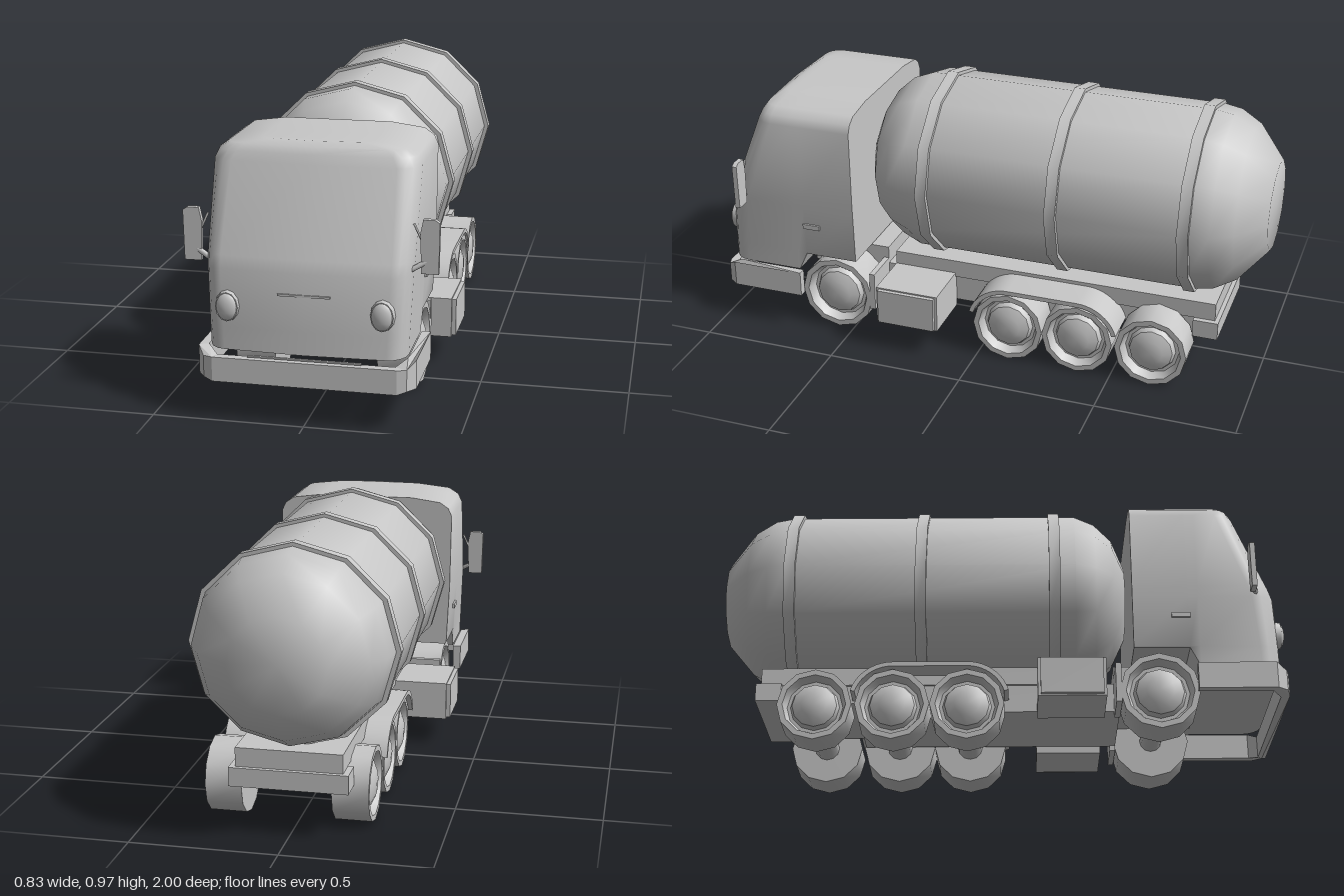
import * as THREE from 'three';
import { toCreasedNormals } from 'three/addons/utils/BufferGeometryUtils.js';

const grey = new THREE.MeshStandardMaterial({ color: 0xc8c8c8 });
grey.name = 'plain grey';

export function createModel() {
  const truck = new THREE.Group();
  truck.name = 'tankTruck';

  const add = (name, geometry, x = 0, y = 0, z = 0) => {
    const mesh = new THREE.Mesh(geometry, grey);
    mesh.name = name;
    mesh.position.set(x, y, z);
    truck.add(mesh);
    return mesh;
  };
  // Box given by its limits on each axis
  const block = (name, x0, x1, y0, y1, z0, z1) =>
    add(name, new THREE.BoxGeometry(x1 - x0, y1 - y0, z1 - z0), (x0 + x1) / 2, (y0 + y1) / 2, (z0 + z1) / 2);
  const lathe = (points, sides) =>
    new THREE.LatheGeometry(points.map(([r, h]) => new THREE.Vector2(r, h)), sides);

  // Tank: twelve-sided barrel with rounded ends, lying along z
  const tank = lathe([[0, -1], [0.16, -1], [0.275, -0.905], [0.318, -0.83], [0.33, -0.76],
    [0.33, 0.27], [0.3, 0.345], [0.24, 0.41], [0.14, 0.455], [0, 0.455]], 12);
  tank.rotateX(Math.PI / 2).scale(1.02, 1, 1);
  add('tank', toCreasedNormals(tank, 0.95), 0, 0.625, 0);
  for (const z of [0.195, -0.28, -0.745]) {
    const band = lathe([[0.31, -0.02], [0.342, -0.02], [0.342, 0.02], [0.31, 0.02]], 12);
    band.rotateX(Math.PI / 2).scale(1.03, 1, 1);
    add('tankBand', toCreasedNormals(band, 0.7), 0, 0.625, z);
  }

  add('cab', cabGeometry());

  // Bumper wrapping around the front of the cab
  const outline = [[0.355, 0.68], [0.355, 0.95], [0.33, 0.985], [0.3, 0.995]];
  const inner = [[0.29, 0.965], [0.325, 0.935], [0.325, 0.68]];
  const flip = (list) => list.map(([x, z]) => [-x, z]).reverse();
  const loop = [...outline, ...flip(outline), ...flip(inner), ...inner];
  const bumper = new THREE.ExtrudeGeometry(
    new THREE.Shape(loop.map(([x, z]) => new THREE.Vector2(x, z))), { depth: 0.105, bevelEnabled: false });
  bumper.rotateX(Math.PI / 2).translate(0, 0.235, 0);
  const p = bumper.attributes.position;
  for (let i = 0; i < p.count; i++) {
    if (p.getY(i) > 0.2 && p.getZ(i) > 0.96 && Math.abs(p.getX(i)) < 0.34) p.setY(i, 0.212);
    else if (p.getY(i) < 0.2 && Math.abs(p.getX(i)) > 0.31) p.setY(i, 0.14);
  }
  bumper.computeVertexNormals();
  add('bumper', bumper);

  // Grille slot and lower seam
  block('grilleSlot', -0.085, 0.085, 0.426, 0.433, 0.974, 0.981);
  block('panelSeam', -0.185, 0.185, 0.217, 0.222, 0.978, 0.987);

  for (const s of [1, -1]) {
    // Headlights: oval rim and domed lens
    const rim = add('headlightRim', new THREE.CylinderGeometry(0.037, 0.043, 0.035, 12), s * 0.25, 0.38, 0.968);
    rim.rotation.x = Math.PI / 2;
    rim.scale.z = 1.3;
    const lens = add('headlight', new THREE.SphereGeometry(0.036, 12, 8), s * 0.25, 0.38, 0.98);
    lens.scale.set(1, 1.3, 0.55);

    // Mirrors on short stalks
    const mirror = new THREE.Shape([[0.357, 0.5], [0.412, 0.5], [0.415, 0.665], [0.4, 0.675], [0.362, 0.675], [0.353, 0.63]]
      .map(([x, y]) => new THREE.Vector2(s * x, y)));
    add('mirror', new THREE.ExtrudeGeometry(mirror, { depth: 0.018, bevelEnabled: false }), 0, 0, 0.876);
    const stalk = new THREE.LineCurve3(new THREE.Vector3(s * 0.32, 0.51, 0.9), new THREE.Vector3(s * 0.375, 0.54, 0.885));
    add('mirrorStalk', new THREE.TubeGeometry(stalk, 1, 0.009, 6));
    const brace = new THREE.LineCurve3(new THREE.Vector3(s * 0.332, 0.66, 0.885), new THREE.Vector3(s * 0.36, 0.6, 0.885));
    add('mirrorBrace', new THREE.TubeGeometry(brace, 1, 0.004, 5));

    // Door handle
    block('doorHandle', s * 0.332 - 0.006, s * 0.332 + 0.006, 0.416, 0.434, 0.6, 0.665);

    // Side lockers with a lid
    const locker = (name, a, b, ...rest) => block(name, Math.min(s * a, s * b), Math.max(s * a, s * b), ...rest);
    locker('sideLocker', 0.17, 0.375, 0.105, 0.245, 0.13, 0.365);
    locker('lockerDoor', 0.375, 0.39, 0.11, 0.24, 0.14, 0.355);
    locker('frontWheelFlap', 0.16, 0.31, 0.11, 0.255, 0.4, 0.42);

    // Wheels
    const wheel = (name, radius, a, b, y, z) => {
      const h = Math.abs(b - a) / 2;
      const g = lathe([[0, -h], [radius, -h], [radius, h], [radius * 0.85, h], [radius * 0.75, h - 0.035],
        [radius * 0.66, h - 0.035], [radius * 0.6, h - 0.015], [radius * 0.35, h], [0, h + 0.004]], 12);
      g.rotateZ(-s * Math.PI / 2);
      add(name, toCreasedNormals(g, 0.7), (a + b) / 2, y, z);
    };
    wheel('frontWheel', 0.139, s * 0.175, s * 0.31, 0.151, 0.552);
    const [w0, w1] = s > 0 ? [0.18, 0.305] : [-0.25, -0.125];
    for (const z of [-0.115, -0.375, -0.645]) wheel('rearWheel', 0.13, w0, w1, 0.13, z);

    // Mudguard over the first two rear wheels
    const guard = new THREE.Shape();
    guard.absarc(-0.115, 0.13, 0.152, 0.3, Math.PI / 2, false);
    guard.absarc(-0.375, 0.13, 0.152, Math.PI / 2, Math.PI - 0.3, false);
    guard.absarc(-0.375, 0.13, 0.136, Math.PI - 0.3, Math.PI / 2, true);
    guard.absarc(-0.115, 0.13, 0.136, Math.PI / 2, 0.3, true);
    const guardGeo = new THREE.ExtrudeGeometry(guard, { depth: 0.145, bevelEnabled: false, curveSegments: 5 });
    guardGeo.rotateY(-Math.PI / 2);
    add('mudguard', toCreasedNormals(guardGeo, 0.6), s > 0 ? 0.31 : -0.12, 0, 0);
  }

  // Chassis
  block('chassisDeck', -0.18, 0.18, 0.23, 0.295, -0.845, 0.365);
  block('chassisBeam', -0.17, 0.17, 0.13, 0.235, -0.5, 0.42);
  block('rearBeam', -0.17, 0.17, 0.165, 0.235, -0.8, -0.5);
  block('rearBumper', -0.2, 0.2, 0.165, 0.23, -0.86, -0.77);
  block('cabMount', -0.17, 0.17, 0.2, 0.3, 0.4, 0.7);

  // Axles
  for (const [y, z, r] of [[0.151, 0.552, 0.04], [0.13, -0.115, 0.045], [0.13, -0.375, 0.045], [0.13, -0.645, 0.045]]) {
    add('axle', new THREE.CylinderGeometry(r, r, 0.36, 12), 0, y, z).rotation.z = Math.PI / 2;
  }
  return truck;
}

// Cab shell: stacked outlines with rounded front corners, closed at roof and floor
function cabGeometry() {
  const back = 0.465;
  // height, half width, front z, corner size across, corner size along
  const levels = [
    [0.235, 0.322, 0.985, 0.06, 0.07], [0.31, 0.325, 0.983, 0.06, 0.07], [0.5, 0.333, 0.975, 0.06, 0.08],
    [0.54, 0.335, 0.962, 0.06, 0.08], [0.82, 0.338, 0.85, 0.07, 0.07], [0.85, 0.324, 0.838, 0.07, 0.06],
    [0.872, 0.292, 0.825, 0.06, 0.05], [0.887, 0.18, 0.8, 0.04, 0.03],
  ];
  const rings = levels.map(([y, w, front, cx, cz], level) => {
    const half = [[w, back], [w, 0.66], [w, 0.695]];
    for (let i = 0; i <= 4; i++) {
      const a = (i / 4) * Math.PI / 2;
      half.push([w - cx + cx * Math.cos(a), front - cz - 0.01 + cz * Math.sin(a)]);
    }
    const ring = [...half, [0, front], ...half.map(([x, z]) => [-x, z]).reverse()];
    // Floor edge steps up behind the bumper to clear the wheel
    return ring.map(([x, z]) => [x, level === 0 && z < 0.69 ? 0.305 : y, z]);
  });
  const n = rings[0].length;
  const vertices = rings.flat(2);
  const index = [];
  for (let k = 0; k < rings.length - 1; k++) {
    for (let i = 0; i < n; i++) {
      const a = k * n + i, b = k * n + (i + 1) % n;
      index.push(a, a + n, b, b, a + n, b + n);
    }
  }
  // Caps are strips between mirrored points
  const top = (rings.length - 1) * n;
  for (let i = 0; i < (n - 1) / 2; i++) {
    const j = n - 1 - i;
    index.push(i, i + 1, j, j, i + 1, j - 1);
    index.push(top + i, top + j, top + i + 1, top + j, top + j - 1, top + i + 1);
  }
  const g = new THREE.BufferGeometry();
  g.setAttribute('position', new THREE.Float32BufferAttribute(vertices, 3));
  g.setIndex(index);
  g.computeVertexNormals();
  return toCreasedNormals(g, 0.65);
}
